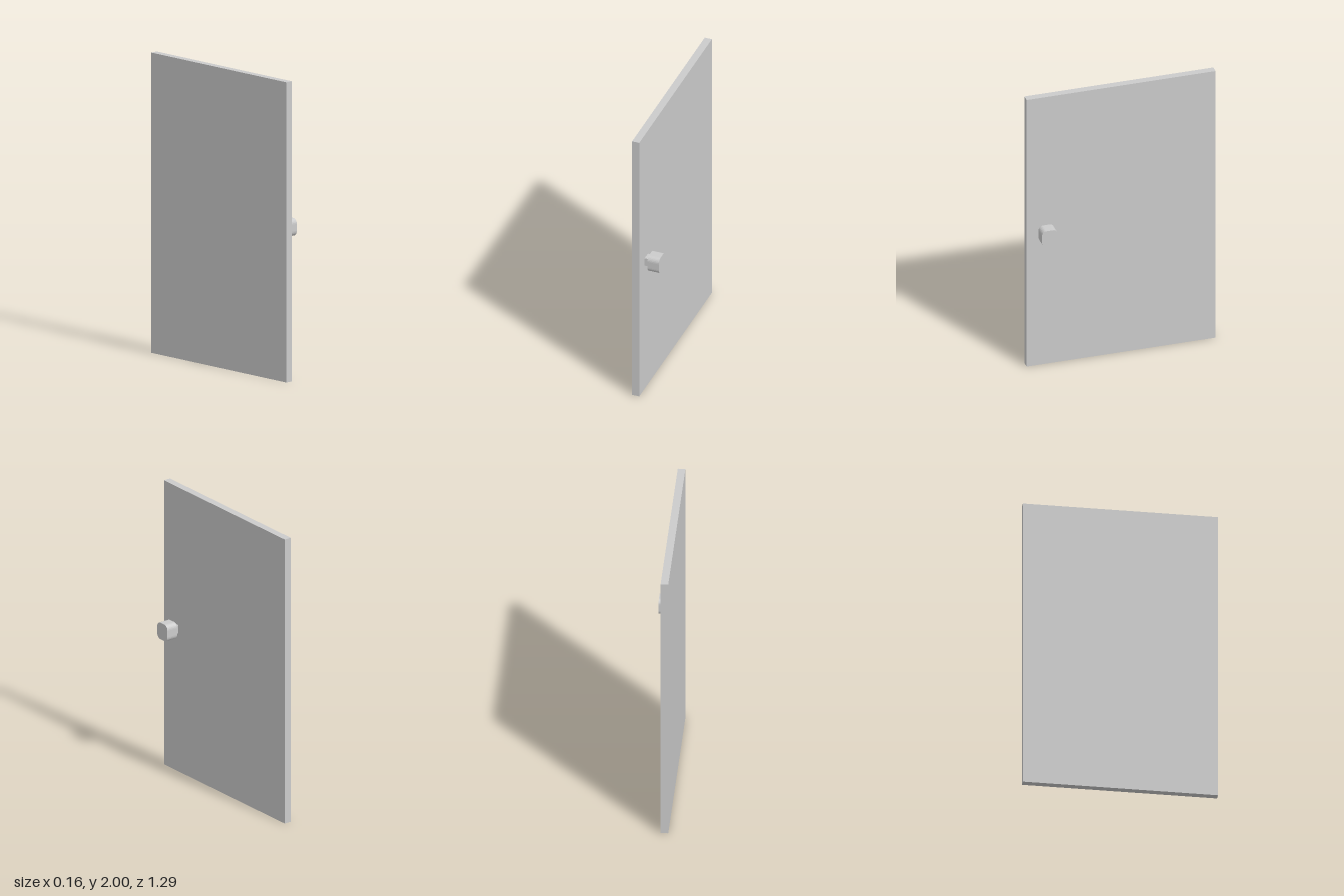
import * as THREE from 'three';

export function createModel() {
  const model = new THREE.Group();
  const material = new THREE.MeshStandardMaterial({ color: 0xcccccc, flatShading: true });

  const add = (name, geometry, x, y, z) => {
    const mesh = new THREE.Mesh(geometry, material);
    mesh.name = name;
    mesh.position.set(x, y, z);
    model.add(mesh);
    return mesh;
  };

  // Door slab
  add('doorPanel', new THREE.BoxGeometry(0.05, 2, 1.29), -0.055, 1, 0);

  // Short stem between slab and knob
  add('knobStem', new THREE.BoxGeometry(0.03, 0.058, 0.058), -0.015, 1, 0.52);

  // Knob: faceted rounded rectangle, extruded outwards along +x
  const w = 0.054, h = 0.058, rx = 0.03, ry = 0.035;
  const outline = new THREE.Shape();
  [[1, 1], [-1, 1], [-1, -1], [1, -1]].forEach(([sx, sy], i) => {
    const start = i * Math.PI / 2;
    outline.absellipse(sx * (w - rx), sy * (h - ry), rx, ry, start, start + Math.PI / 2, false, 0);
  });
  outline.closePath();
  const knobGeometry = new THREE.ExtrudeGeometry(outline, {
    depth: 0.08, bevelEnabled: false, curveSegments: 3,
  });
  knobGeometry.rotateY(Math.PI / 2);
  add('knob', knobGeometry, 0, 1, 0.52);

  return model;
}
